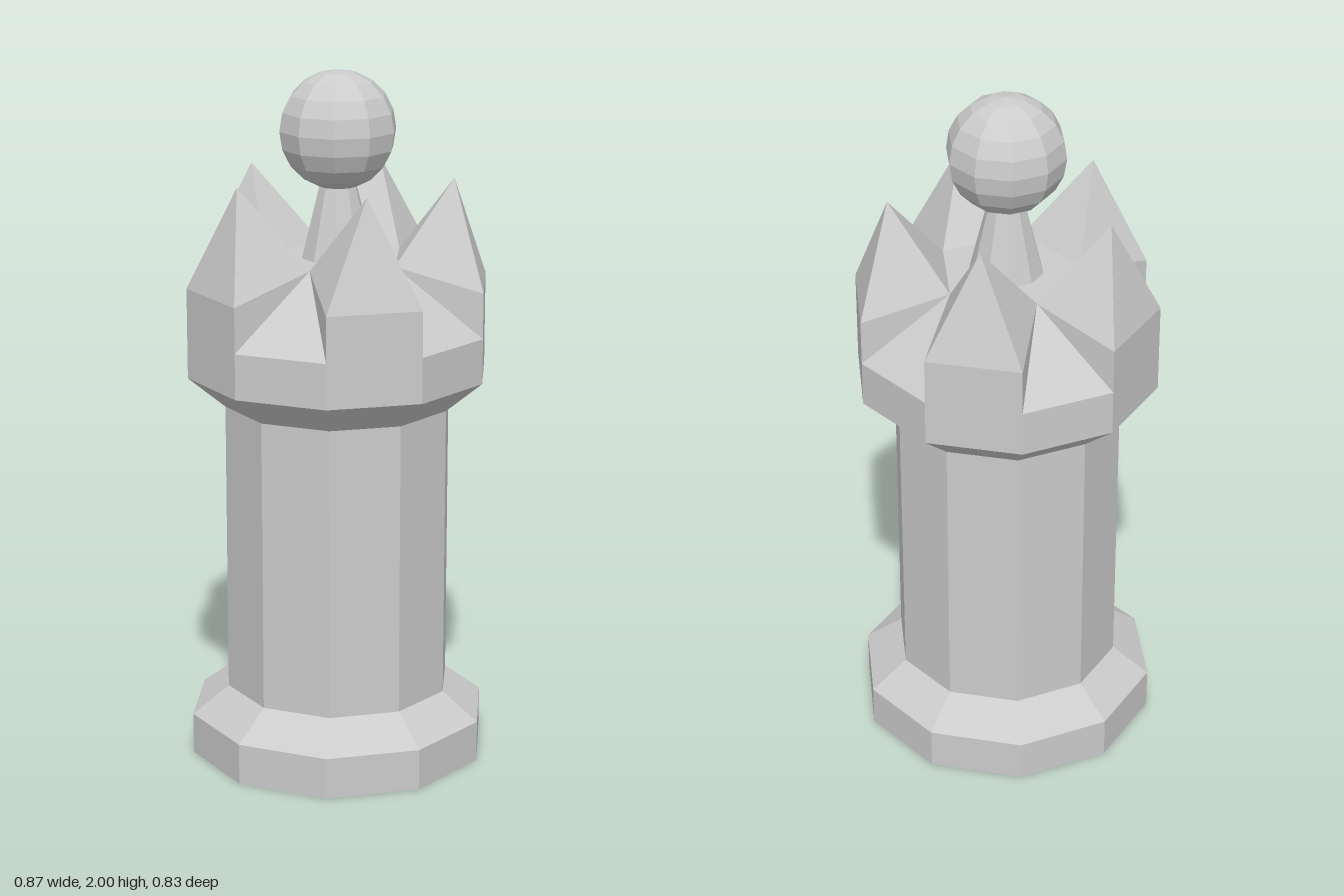
import * as THREE from 'three';

const SIDES = 10;
const RAD = Math.PI / 180;

export function createModel() {
  const group = new THREE.Group();
  const material = new THREE.MeshStandardMaterial({ color: 0xcccccc, flatShading: true });

  const add = (name, geometry) => {
    const mesh = new THREE.Mesh(geometry, material);
    mesh.name = name;
    group.add(mesh);
    return mesh;
  };
  // Ten-sided turned part with a flat side facing the front
  const turned = (profile) => new THREE.LatheGeometry(
    profile.map(([r, y]) => new THREE.Vector2(r, y)), SIDES, Math.PI / SIDES);

  // Foot, shaft and the collar under the crown
  add('foot', turned([[0, 0], [0.437, 0], [0.437, 0.12], [0.33, 0.2]]));
  add('shaft', turned([[0.33, 0.2], [0.33, 1.05]]));
  add('collar', turned([[0.33, 1.05], [0.437, 1.14], [0.437, 1.27]]));

  // Crown: five spikes with sloping notches between them
  add('crown', crownGeometry());

  // Neck and ball finial
  add('neck', turned([[0.105, 1.47], [0.05, 1.69]]));
  add('ball', new THREE.SphereGeometry(0.168, SIDES, 10)).position.y = 1.832;

  return group;
}

function crownGeometry() {
  const positions = [];
  // Point at an angle (degrees from the front towards +x), radius and height
  const at = (deg, r, y) => [r * Math.sin(deg * RAD), y, r * Math.cos(deg * RAD)];
  const tri = (a, b, c) => positions.push(...a, ...b, ...c);
  const quad = (a, b, c, d) => { tri(a, b, c); tri(a, c, d); };
  const corner = (deg) => at(deg, 0.437, 1.27);
  const shoulder = (deg) => at(deg, 0.437, 1.4);
  const valley = (deg) => at(deg, 0.207, 1.47);

  for (let k = 0; k < 5; k++) {
    const a = k * 72;
    const apex = at(a, 0.327, 1.7);
    // Outer face of the spike
    quad(corner(a - 18), corner(a + 18), shoulder(a + 18), shoulder(a - 18));
    tri(shoulder(a - 18), shoulder(a + 18), apex);
    // Spike sides
    tri(corner(a + 18), valley(a + 36), shoulder(a + 18));
    tri(shoulder(a + 18), valley(a + 36), apex);
    tri(valley(a - 36), corner(a - 18), shoulder(a - 18));
    tri(valley(a - 36), shoulder(a - 18), apex);
    // Inner face of the spike
    tri(valley(a + 36), valley(a - 36), apex);
    // Notch slope and crown floor
    tri(corner(a + 18), corner(a + 54), valley(a + 36));
    tri([0, 1.47, 0], valley(a - 36), valley(a + 36));
  }

  const geometry = new THREE.BufferGeometry();
  geometry.setAttribute('position', new THREE.Float32BufferAttribute(positions, 3));
  geometry.computeVertexNormals();
  return geometry;
}
